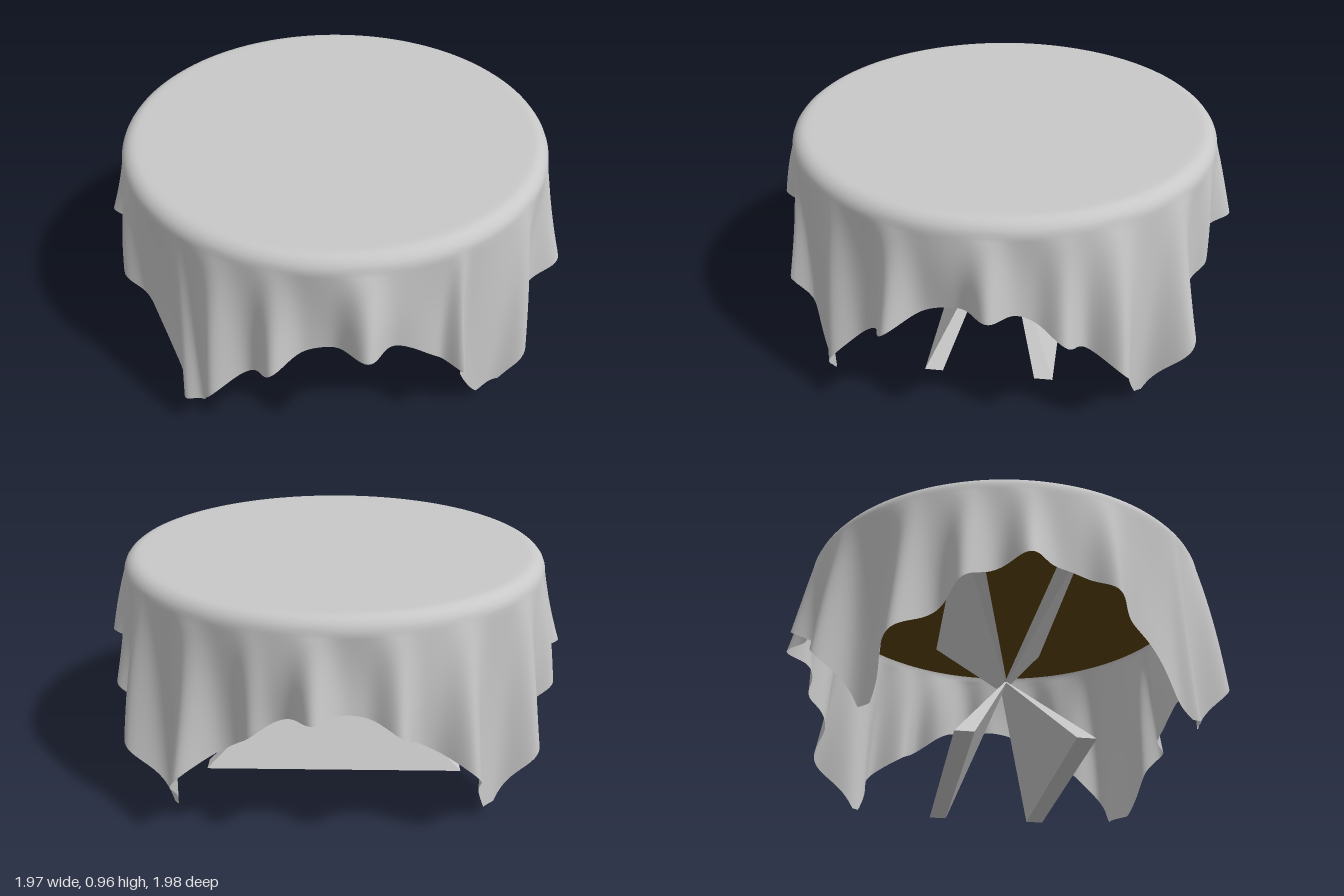
import * as THREE from 'three';

const clothMat = new THREE.MeshStandardMaterial({ color: 0xc8c8c8, side: THREE.DoubleSide });
clothMat.name = 'cloth grey';
const legMat = new THREE.MeshStandardMaterial({ color: 0xc7c7c7 });
legMat.name = 'leg grey';
const woodMat = new THREE.MeshStandardMaterial({ color: 0x5b430f });
woodMat.name = 'dark wood';

const RIM = 0.9, TOP = 0.965, BEND = 0.065, CENTRE_Z = -0.007;

// Outer tip of each fold at the hem: x, z, optional angular width
const folds = [
  [0.05, 1.0], [-0.32, 0.93], [-0.57, 0.83], [-0.69, 0.65, 0.03], [-0.93, 0.29], [-1.0, -0.06],
  [-0.94, -0.31], [-0.85, -0.57], [-0.57, -0.85], [-0.27, -0.96], [0.06, -1.0], [0.3, -0.9],
  [0.61, -0.86], [0.85, -0.59], [0.92, -0.36], [0.99, -0.07], [0.95, 0.34], [0.77, 0.62],
  [0.45, 0.875, 0.025],
].map(([x, z, width]) => {
  const amp = Math.hypot(x, z - CENTRE_Z) - RIM;
  return { angle: Math.atan2(z - CENTRE_Z, x), amp, width: width ?? 0.03 + 0.23 * amp };
});

const wrap = (a) => Math.atan2(Math.sin(a), Math.cos(a));
const bell = (d, w) => Math.exp(-((d / w) ** 2) / 2);

// How far a square cloth hangs below the rim in a given direction
function hang(a) {
  const c = Math.cos(a), s = Math.sin(a);
  const reach = Math.min((c > 0 ? 1.27 : 1.31) / Math.max(Math.abs(c), 1e-6),
    (s > 0 ? 1.31 : 1.27) / Math.max(Math.abs(s), 1e-6));
  let drop = reach - 0.895;
  for (let k = 0; k < 4; k++) {
    const quarter = k * Math.PI / 2;
    // blunt corner, and the pleats either side of each straight edge
    drop += 0.05 * bell(wrap(a - Math.PI / 4 - quarter), 0.17);
    drop += 0.045 * bell(Math.abs(wrap(a - quarter)) - 0.4, 0.1);
  }
  // front left flap is fuller beside its narrow pleat
  const u = wrap(a - 0.95) / 0.14;
  if (Math.abs(u) < 1) drop += 0.12 * (1 - u * u);
  return Math.min(drop, 0.918);
}

// Cloth: flat disc, rounded rim, then a folded skirt
function clothGeometry() {
  const N = 540, capRadii = [0, 0.4, 0.7, 0.81], bendRows = 6, skirtRows = 26;
  const rows = capRadii.length + bendRows + skirtRows;
  const pos = [], index = [];
  for (let j = 0; j < rows; j++) {
    for (let i = 0; i < N; i++) {
      const a = (i / N) * Math.PI * 2;
      let r, y;
      if (j < capRadii.length) {
        r = capRadii[j];
        y = TOP;
      } else if (j < capRadii.length + bendRows) {
        const q = ((j - capRadii.length) / bendRows) * Math.PI / 2;
        r = RIM - BEND * (1 - Math.sin(q));
        y = TOP - BEND * (1 - Math.cos(q));
      } else {
        const t = (j - capRadii.length - bendRows) / (skirtRows - 1);
        let f = 0;
        for (const p of folds) f += p.amp * bell(wrap(a - p.angle), p.width);
        r = RIM + f * Math.pow(t, 0.9) + 0.01 * Math.sin(Math.PI * t) * Math.sin(a * 9 + 1) - 0.008 * t;
        y = TOP - BEND - t * (hang(a) - BEND);
      }
      pos.push(r * Math.cos(a), y, r * Math.sin(a) + CENTRE_Z);
      if (j < rows - 1) {
        const n = j * N + i, m = j * N + (i + 1) % N;
        if (j > 0) index.push(n, m, n + N);
        index.push(m, m + N, n + N);
      }
    }
  }
  const g = new THREE.BufferGeometry();
  g.setAttribute('position', new THREE.Float32BufferAttribute(pos, 3));
  g.setIndex(index);
  g.computeVertexNormals();
  return g;
}

// Leg: leaning hourglass plate, pinched where the two cross
function legGeometry(lean) {
  const half = 0.4555;
  const g = new THREE.BoxGeometry(1.13, half * 2, 0.078, 1, 2, 1).toNonIndexed();
  const p = g.attributes.position;
  for (let i = 0; i < p.count; i++) {
    const y = p.getY(i), k = 0.1 + 0.9 * Math.abs(y) / half;
    p.setXYZ(i, p.getX(i) * k, y + half, p.getZ(i) * k + lean * y - 0.01);
  }
  g.computeVertexNormals();
  return g;
}

export function createModel() {
  const group = new THREE.Group();
  group.name = 'clothCoveredTable';
  const add = (name, geometry, material) => {
    const mesh = new THREE.Mesh(geometry, material);
    mesh.name = name;
    group.add(mesh);
    return mesh;
  };
  add('tablecloth', clothGeometry(), clothMat);
  add('tableTop', new THREE.CylinderGeometry(0.87, 0.87, 0.03, 96), woodMat).position.set(0, 0.92, CENTRE_Z);
  add('legA', legGeometry(0.52), legMat);
  add('legB', legGeometry(-0.52), legMat);
  return group;
}
